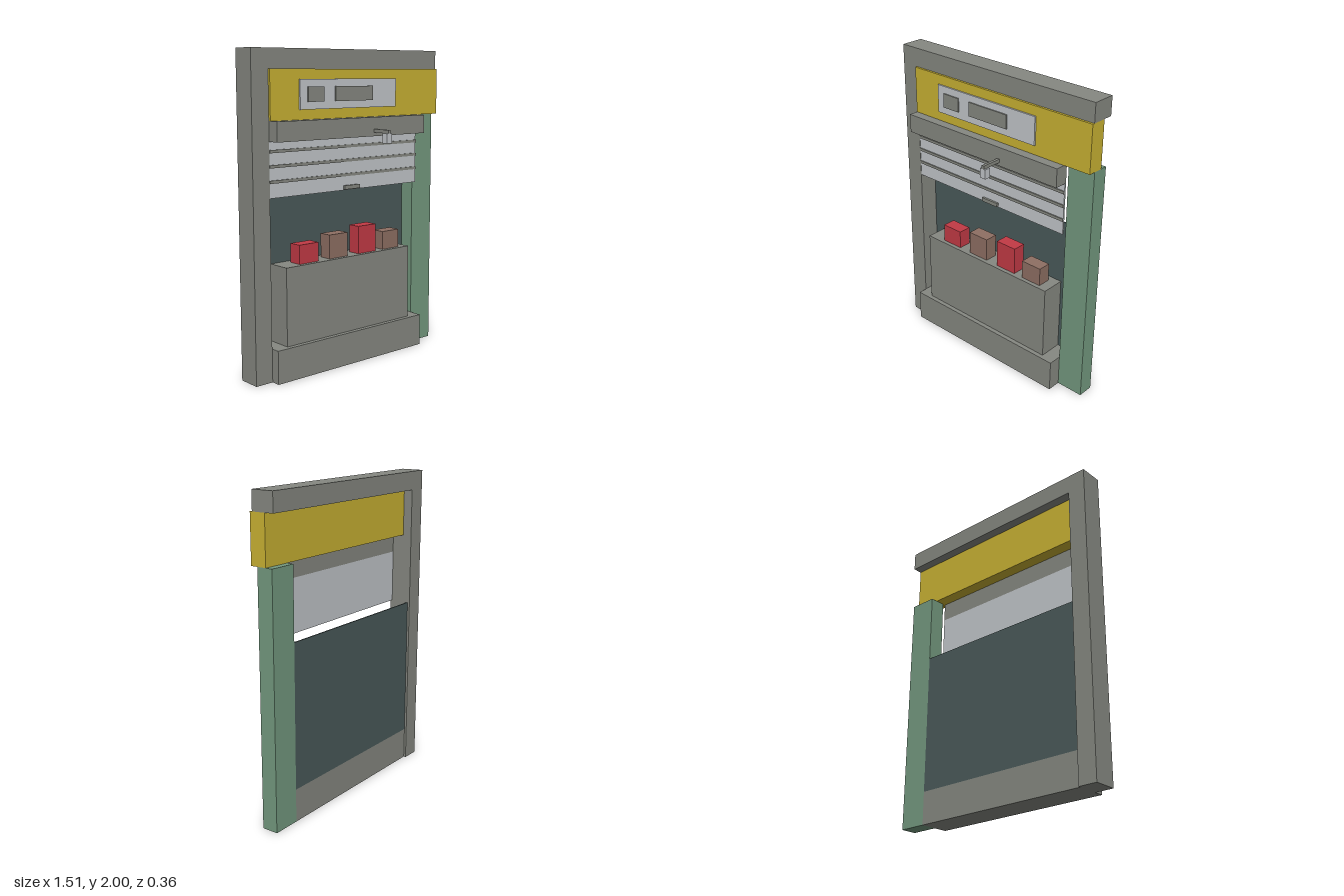
import * as THREE from 'three';

function mat(name, color) {
  const m = new THREE.MeshStandardMaterial({ color });
  m.name = name;
  return m;
}

export function createModel() {
  const model = new THREE.Group();
  model.name = 'shutteredKiosk';

  const stone = mat('stone grey', 0x868881);
  const yellow = mat('sign yellow', 0xc9b233);
  const silver = mat('silver', 0xc2c6ca);
  const green = mat('post green', 0x74997f);
  const teal = mat('dark teal', 0x4a5a5a);
  const red = mat('red', 0xc23a45);
  const brown = mat('brown', 0x8e6f63);

  // Box given by its extents along each axis
  function box(name, material, [x0, x1], [y0, y1], [z0, z1], parent = model) {
    const mesh = new THREE.Mesh(new THREE.BoxGeometry(x1 - x0, y1 - y0, z1 - z0), material);
    mesh.position.set((x0 + x1) / 2, (y0 + y1) / 2, (z0 + z1) / 2);
    mesh.name = name;
    parent.add(mesh);
    return mesh;
  }
  function group(name) {
    const g = new THREE.Group();
    g.name = name;
    model.add(g);
    return g;
  }

  const opening = [-0.637, 0.573];

  // Frame: tall pillar, lintel, green post and plinth
  box('pillar', stone, [-0.757, -0.637], [0, 1.88], [-0.18, -0.03]);
  box('lintel', stone, [-0.757, 0.755], [1.88, 2], [-0.18, -0.03]);
  box('greenPost', green, [0.573, 0.755], [0, 1.58], [-0.165, -0.06]);
  box('plinth', stone, opening, [0, 0.21], [-0.165, 0.03]);
  box('backPanel', teal, opening, [0.21, 1.125], [-0.165, -0.157]);

  // Sign board with raised plate and two blocks
  const sign = group('sign');
  box('signBoard', yellow, [-0.637, 0.755], [1.58, 1.88], [-0.12, -0.015], sign);
  box('signPlate', silver, [-0.425, 0.36], [1.64, 1.82], [-0.015, -0.004], sign);
  box('signBlockSmall', stone, [-0.37, -0.245], [1.685, 1.775], [-0.004, 0.004], sign);
  box('signBlockLarge', stone, [-0.155, 0.15], [1.685, 1.775], [-0.004, 0.004], sign);

  // Roller shutter: housing, sheet, ribs and pull
  const shutter = group('shutter');
  box('shutterHousing', stone, opening, [1.46, 1.58], [-0.042, 0.047], shutter);
  box('shutterSheet', silver, opening, [1.125, 1.46], [-0.042, -0.032], shutter);
  for (const y of [1.222, 1.313, 1.402]) {
    box('shutterRib', stone, opening, [y - 0.009, y + 0.009], [-0.032, -0.025], shutter);
  }
  box('shutterPull', stone, [-0.065, 0.06], [1.13, 1.155], [-0.032, -0.018], shutter);

  // Crank
  const crank = group('crank');
  box('crankArm', stone, [0.12, 0.138], [1.483, 1.505], [0.047, 0.182], crank);
  box('crankGrip', silver, [0.107, 0.149], [1.422, 1.483], [0.141, 0.182], crank);

  // Counter and the goods on it
  box('counter', stone, [-0.545, 0.482], [0.21, 0.7], [-0.157, 0]);
  const goods = [
    [-0.425, -0.275, 0.82, red],
    [-0.185, -0.035, 0.853, brown],
    [0.056, 0.206, 0.88, red],
    [0.27, 0.415, 0.82, brown],
  ];
  for (const [x0, x1, top, m] of goods) {
    box('goodsBox', m, [x0, x1], [0.7, top], [-0.115, -0.027]);
  }

  return model;
}
